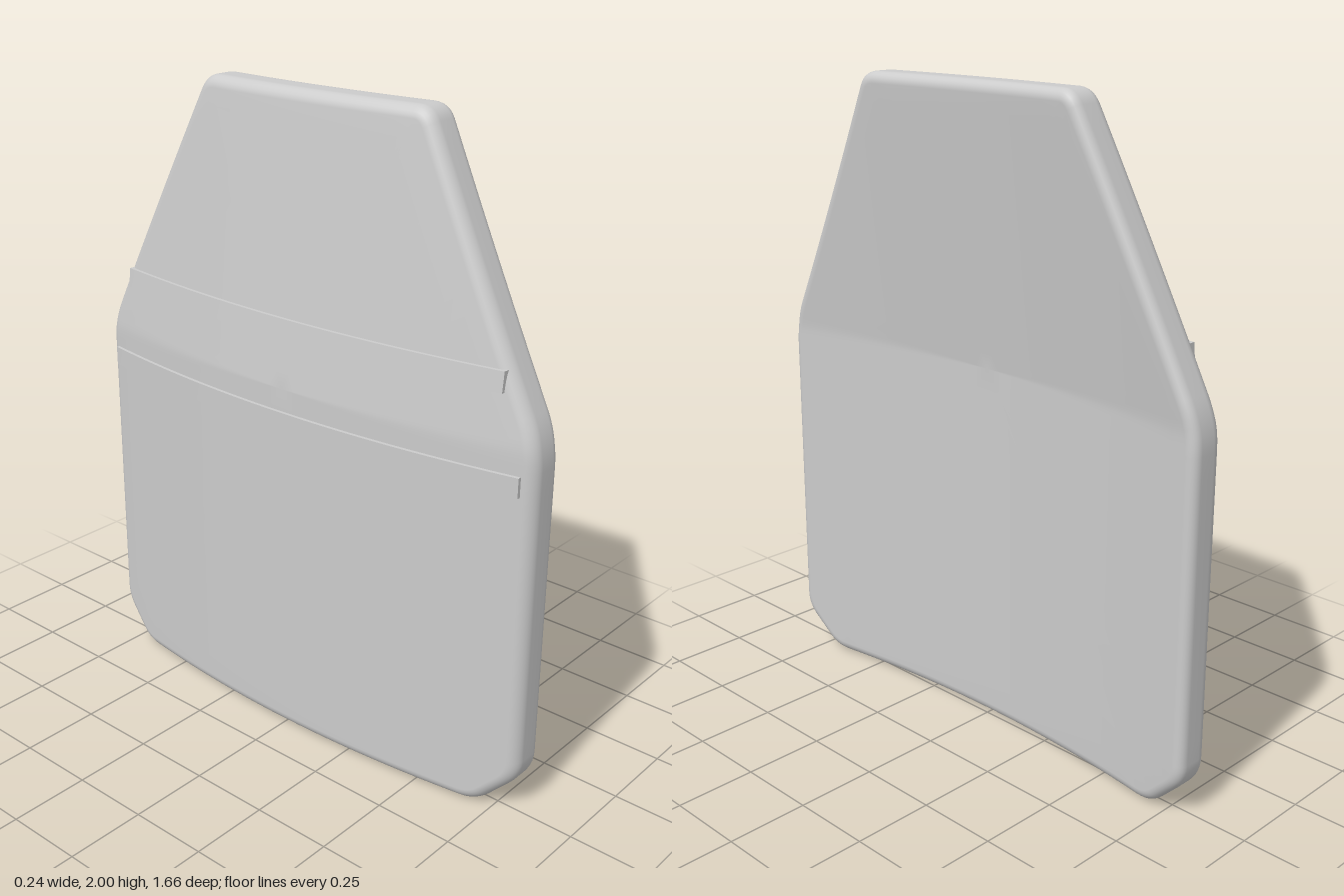
import * as THREE from 'three';
import { mergeVertices } from 'three/addons/utils/BufferGeometryUtils.js';

const THICK = 0.12, BEVEL = 0.035, FOLD_Y = 1.15, HALF_WIDTH = 0.83;

// sideways curve of the plate plus the lean of its upper part
const bend = (y, z) =>
  -0.06 + 0.08 * (z / HALF_WIDTH) ** 2 + 0.1 * Math.max(0, y - FOLD_Y) / (2 - FOLD_Y);

// closed outline with softened corners, as Vector2(-z, y), counter-clockwise
function makeOutline() {
  const half = [[0.7, 0, 0.05], [0.83, 0.13, 0.05], [0.83, 1.17, 0.08], [0.41, 2, 0.045]];
  const corners = [...half, ...half.map(([a, y, c]) => [-a, y, c]).reverse()];
  const n = corners.length;
  const at = (i) => new THREE.Vector2(corners[(i + n) % n][0], corners[(i + n) % n][1]);
  const arcs = corners.map(([, , cut], i) => {
    const p = at(i);
    const toward = (q) => q.sub(p).setLength(cut).add(p);
    return new THREE.QuadraticBezierCurve(toward(at(i - 1)), p, toward(at(i + 1))).getPoints(6);
  });
  const points = [];
  arcs.forEach((arc, i) => {
    points.push(...arc);
    const start = arc[arc.length - 1], end = arcs[(i + 1) % n][0];
    const steps = Math.max(2, Math.round(start.distanceTo(end) / 0.06));
    for (let s = 1; s < steps; s++) points.push(start.clone().lerp(end, s / steps));
  });
  return points;
}

// plate skin: rings from the centre of one face, round the rim, to the other centre
function plateGeometry() {
  const outline = makeOutline(), n = outline.length;
  const normals = outline.map((p, i) => {
    const t = outline[(i + 1) % n].clone().sub(outline[(i - 1 + n) % n]).normalize();
    return new THREE.Vector2(t.y, -t.x);
  });
  const rings = [];
  const FACE = 16, ROUND = 6;
  for (let i = 0; i < FACE; i++) rings.push({ scale: i / FACE, out: 0, x: THICK / 2 });
  for (let i = 0; i <= ROUND; i++) {
    const a = (i / ROUND) * Math.PI / 2;
    rings.push({ scale: 1, out: BEVEL * Math.sin(a), x: THICK / 2 - BEVEL + BEVEL * Math.cos(a) });
  }
  rings.push(...rings.map((r) => ({ ...r, x: -r.x })).reverse());

  const centre = new THREE.Vector2(0, FOLD_Y);
  const positions = [], index = [];
  rings.forEach(({ scale, out, x }, k) => {
    outline.forEach((p, j) => {
      const q = p.clone().addScaledVector(normals[j], out - BEVEL)
        .sub(centre).multiplyScalar(scale).add(centre);
      positions.push(x + bend(q.y, q.x), q.y, -q.x);
      if (k === rings.length - 1) return;
      const a = k * n + j, b = k * n + (j + 1) % n;
      if (k < rings.length - 2) index.push(a, a + n, b + n);
      else index.push(a, a + n, b);
      if (k > 0 && k < rings.length - 2) index.push(a, b + n, b);
    });
  });
  const geometry = new THREE.BufferGeometry();
  geometry.setAttribute('position', new THREE.Float32BufferAttribute(positions, 3));
  geometry.setIndex(index);
  const merged = mergeVertices(geometry, 1e-5);
  merged.computeVertexNormals();
  return merged;
}

// thin band lying along the curve of the convex face
function bandGeometry(y, halfLength) {
  const geometry = new THREE.BoxGeometry(0.022, 0.06, 2 * halfLength, 1, 1, 40);
  geometry.translate(-THICK / 2, y, 0);
  const pos = geometry.attributes.position;
  for (let i = 0; i < pos.count; i++) {
    pos.setX(i, pos.getX(i) + bend(pos.getY(i), pos.getZ(i)));
  }
  geometry.computeVertexNormals();
  return geometry;
}

export function createModel() {
  const group = new THREE.Group();
  group.name = 'curvedPlate';
  const material = new THREE.MeshStandardMaterial({ color: 0xcccccc });
  const add = (name, geometry) => {
    const mesh = new THREE.Mesh(geometry, material);
    mesh.name = name;
    group.add(mesh);
  };
  add('plate', plateGeometry());
  add('lowerBand', bandGeometry(1.05, 0.79));
  add('upperBand', bandGeometry(1.33, 0.72));
  return group;
}
